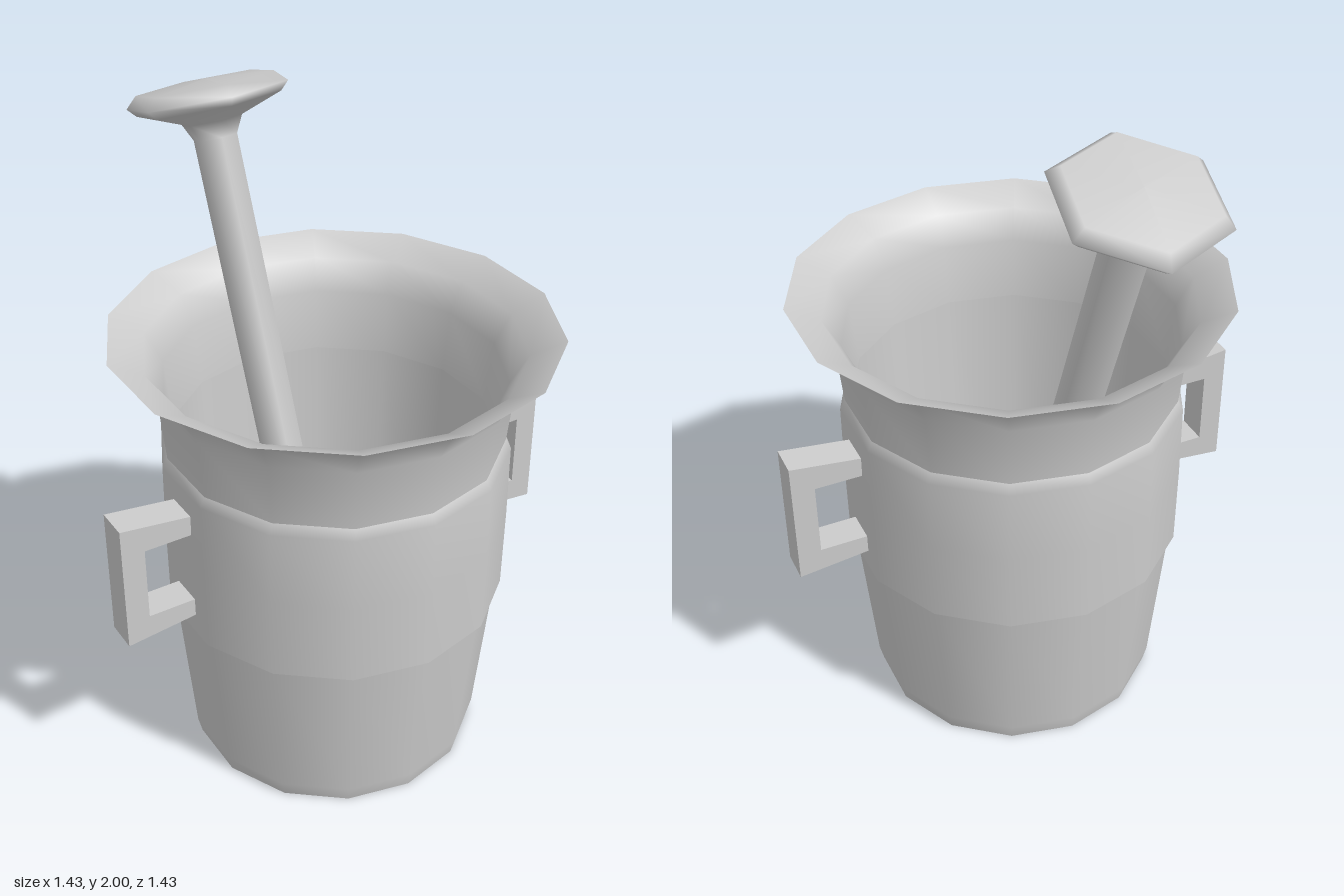
import * as THREE from 'three';

const DEG = Math.PI / 180;
const material = new THREE.MeshStandardMaterial({ color: 0xcccccc });

// Surface of revolution from [radius, height] pairs; upward profiles face outward.
function lathe(name, profile, sides, start) {
  const points = profile.map(([r, y]) => new THREE.Vector2(r, y));
  const mesh = new THREE.Mesh(new THREE.LatheGeometry(points, sides, start), material);
  mesh.name = name;
  return mesh;
}

function createHandle(name, side) {
  // C-shaped bracket, flaring slightly away from the wall
  const outline = [
    [0.48, 0.615], [0.715, 0.59], [0.715, 0.99], [0.48, 0.96],
    [0.48, 0.9], [0.645, 0.9], [0.645, 0.67], [0.48, 0.67],
  ].map(([r, y]) => new THREE.Vector2(r, y));
  const geometry = new THREE.ExtrudeGeometry(new THREE.Shape(outline), { depth: 0.1, bevelEnabled: false });
  geometry.translate(0, 0, -0.05);
  const mesh = new THREE.Mesh(geometry, material);
  mesh.name = name;
  mesh.rotation.y = -side * Math.PI / 2;
  return mesh;
}

function createMortar() {
  const mortar = new THREE.Group();
  mortar.name = 'mortar';
  const part = (name, profile) => mortar.add(lathe(name, profile, 14, Math.PI / 2));

  // Outside, from the foot to the flared lip
  part('base', [[0, 0], [0.44, 0]]);
  part('lowerBody', [[0.44, 0], [0.452, 0.05], [0.495, 0.53]]);
  part('bandUnderside', [[0.495, 0.53], [0.513, 0.545]]);
  part('band', [[0.513, 0.545], [0.515, 0.8], [0.513, 1.03], [0.497, 1.06]]);
  part('neck', [[0.497, 1.06], [0.515, 1.25], [0.565, 1.34], [0.645, 1.39]]);

  // Inside, from the lip down to the floor
  part('innerLip', [[0.645, 1.39], [0.545, 1.34], [0.495, 1.25], [0.475, 1.06]]);
  part('innerWall', [[0.475, 1.06], [0.415, 0.07]]);
  part('floor', [[0.415, 0.07], [0, 0.07]]);

  mortar.add(createHandle('frontHandle', 1), createHandle('backHandle', -1));
  mortar.position.set(0.07, 0, 0.008);
  mortar.rotation.y = -6.4 * DEG;
  return mortar;
}

function createPestle() {
  // Grinding head, shaft and wide cap along one leaning axis; origin at the cap
  const pestle = lathe('pestle', [
    [0, -1.85], [0.09, -1.835], [0.14, -1.8], [0.15, -1.76], [0.13, -1.68],
    [0.075, -1.53], [0.065, -1.48],
    [0.065, -0.12], [0.09, -0.07], [0.215, -0.025],
    [0.24, 0], [0.205, 0.033], [0, 0.045],
  ], 6, 75 * DEG);
  pestle.position.set(-0.495, 1.905, 0.027);
  pestle.rotation.z = 18 * DEG;
  return pestle;
}

export function createModel() {
  const model = new THREE.Group();
  model.name = 'mortarAndPestle';
  model.add(createMortar(), createPestle());
  return model;
}
